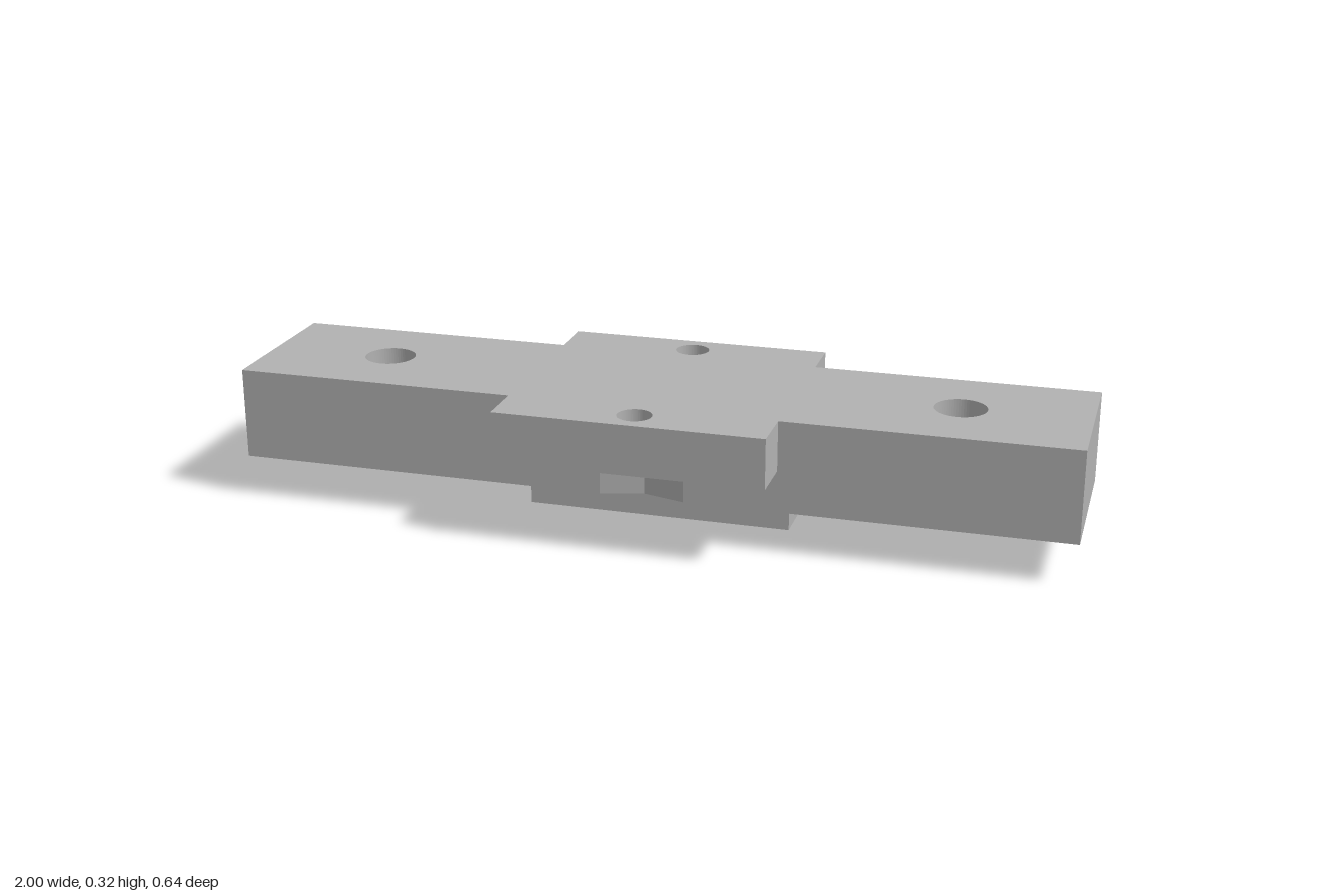
import * as THREE from 'three';

const grey = new THREE.MeshStandardMaterial({ color: 0xb2b2b2 });
grey.name = 'grey';

// Flat plate from a plan outline [x, z], with round holes [x, z, radius]
function plate(name, outline, holes, y0, y1) {
  const shape = new THREE.Shape(outline.map(([x, z]) => new THREE.Vector2(x, -z)));
  for (const [x, z, r] of holes) {
    const hole = new THREE.Path();
    hole.absarc(x, -z, r, 0, Math.PI * 2, true);
    shape.holes.push(hole);
  }
  const geo = new THREE.ExtrudeGeometry(shape, { depth: y1 - y0, bevelEnabled: false, curveSegments: 32 });
  geo.rotateX(-Math.PI / 2);
  geo.translate(0, y0, 0);
  const mesh = new THREE.Mesh(geo, grey);
  mesh.name = name;
  return mesh;
}

export function createModel() {
  const group = new THREE.Group();
  group.name = 'mountingBracket';

  const L = 1, W = 0.2, earX = 0.32, earZ = 0.32;
  const boltHoles = [[-0.7, 0, 0.062], [0.7, 0, 0.062]];
  const earHoles = [[0, -0.25, 0.041], [0, 0.25, 0.041]];

  // Lower half of the bar, with a shallow V relief under each ear
  const notchX = 0.1, notchZ = W - 0.027;
  group.add(plate('lowerBar', [
    [-L, W], [-notchX, W], [0, notchZ], [notchX, W], [L, W],
    [L, -W], [notchX, -W], [0, -notchZ], [-notchX, -W], [-L, -W],
  ], boltHoles, 0.1, 0.2));

  // Upper half of the bar with the two side ears
  group.add(plate('upperBarWithEars', [
    [-L, W], [-earX, W], [-earX, earZ], [earX, earZ], [earX, W], [L, W],
    [L, -W], [earX, -W], [earX, -earZ], [-earX, -earZ], [-earX, -W], [-L, -W],
  ], [...boltHoles, ...earHoles], 0.2, 0.32));

  // Locating key beneath the bar
  const key = new THREE.Mesh(new THREE.BoxGeometry(earX * 2, 0.1, 0.124), grey);
  key.name = 'locatingKey';
  key.position.y = 0.05;
  group.add(key);

  return group;
}
